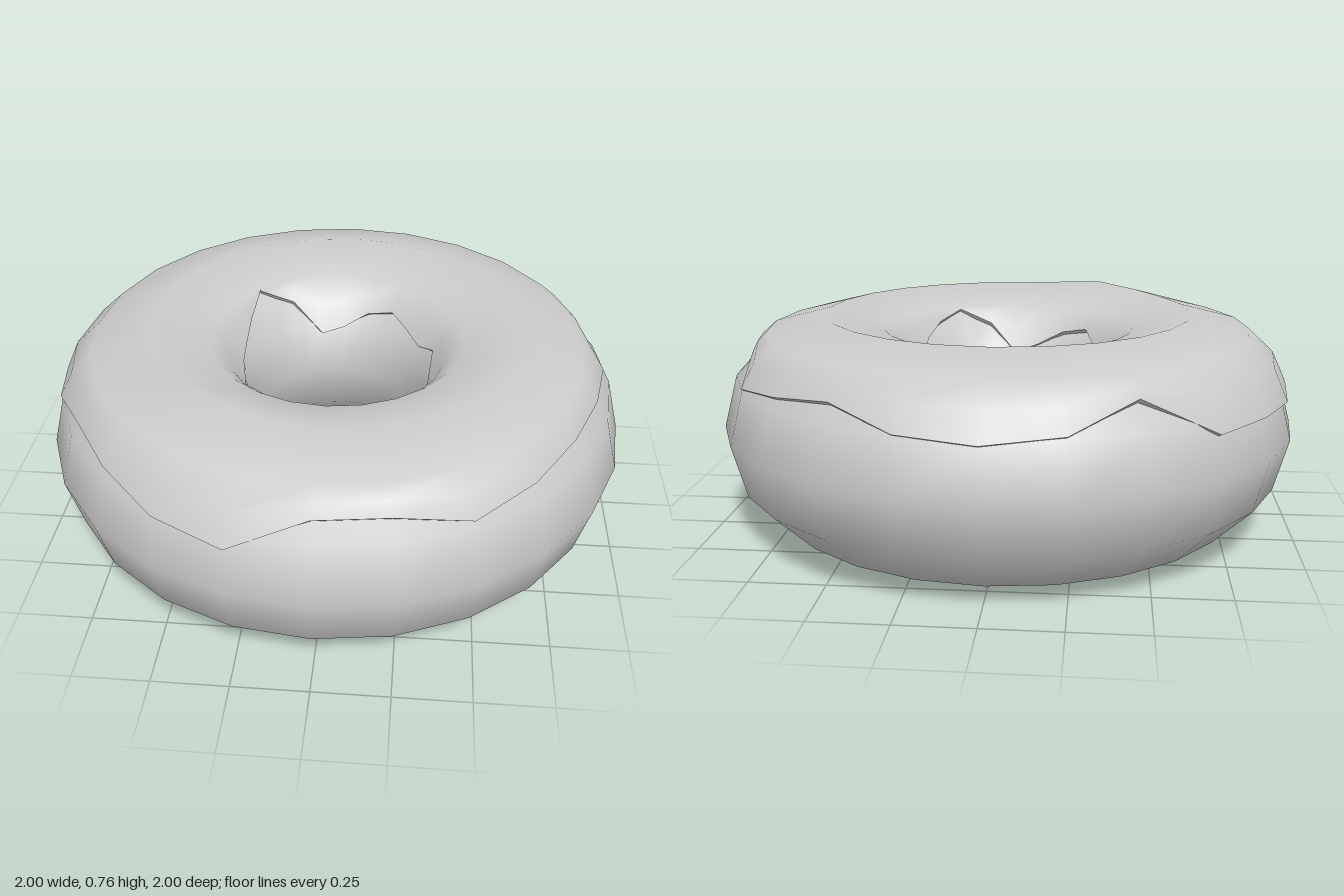
import * as THREE from 'three';

const RING = 0.64, TUBE = 0.36, SIDES = 24;

// Height of the icing's wavy rim every 15 degrees, from +x towards +z
const outerRim = [.59, .61, .61, .59, .565, .61, .61, .51, .53, .57, .59, .54,
  .5, .49, .5, .5, .625, .55, .53, .545, .6, .575, .55, .63];
const innerRim = [.55, .56, .6, .64, .67, .62, .52, .55, .6, .62, .58, .55,
  .56, .58, .62, .67, .62, .51, .53, .58, .6, .57, .55, .58];

const material = new THREE.MeshStandardMaterial({ color: 0xcccccc });

// Icing cross-section at one spoke: [angle around the tube, radius] pairs
function section(j) {
  const rim = 0.367;
  const a = Math.asin((outerRim[j] - TUBE) / rim);
  const b = Math.PI - Math.asin((innerRim[j] - TUBE) / rim);
  const shoulder = THREE.MathUtils.degToRad(58);
  const bump = j === 8 ? 0.02 : j === 7 || j === 9 ? 0.008 : 0;
  return [
    [a, 0.335], [a, rim],
    [(a + shoulder) / 2, 0.38], [shoulder, 0.385],
    [Math.PI / 2, 0.38 + bump],
    [Math.PI - shoulder, 0.38], [(b + Math.PI - shoulder) / 2, 0.376],
    [b, rim], [b, 0.335],
  ];
}

// Closed band joining the given range of section points around the ring
function band(name, first, last) {
  const rows = last - first + 1, positions = [], index = [];
  for (let j = 0; j < SIDES; j++) {
    const phi = j / SIDES * Math.PI * 2;
    for (const [a, r] of section(j).slice(first, last + 1)) {
      const d = RING + r * Math.cos(a);
      positions.push(d * Math.cos(phi), TUBE + r * Math.sin(a), d * Math.sin(phi));
    }
    for (let i = 0; i < rows - 1; i++) {
      const p = j * rows + i, q = ((j + 1) % SIDES) * rows + i;
      index.push(p, p + 1, q, p + 1, q + 1, q);
    }
  }
  const geometry = new THREE.BufferGeometry();
  geometry.setAttribute('position', new THREE.Float32BufferAttribute(positions, 3));
  geometry.setIndex(index);
  geometry.computeVertexNormals();
  const mesh = new THREE.Mesh(geometry, material);
  mesh.name = name;
  return mesh;
}

export function createModel() {
  const model = new THREE.Group();
  model.name = 'doughnut';

  // Dough ring
  const dough = new THREE.Mesh(new THREE.TorusGeometry(RING, TUBE, 12, SIDES), material);
  dough.geometry.rotateX(Math.PI / 2);
  dough.geometry.translate(0, TUBE, 0);
  dough.name = 'dough';
  model.add(dough);

  // Icing: smooth top with a hard-edged lip on both rims
  const icing = new THREE.Group();
  icing.name = 'icing';
  icing.add(band('icingTop', 1, 7), band('icingOuterLip', 0, 1), band('icingInnerLip', 7, 8));
  model.add(icing);

  return model;
}
